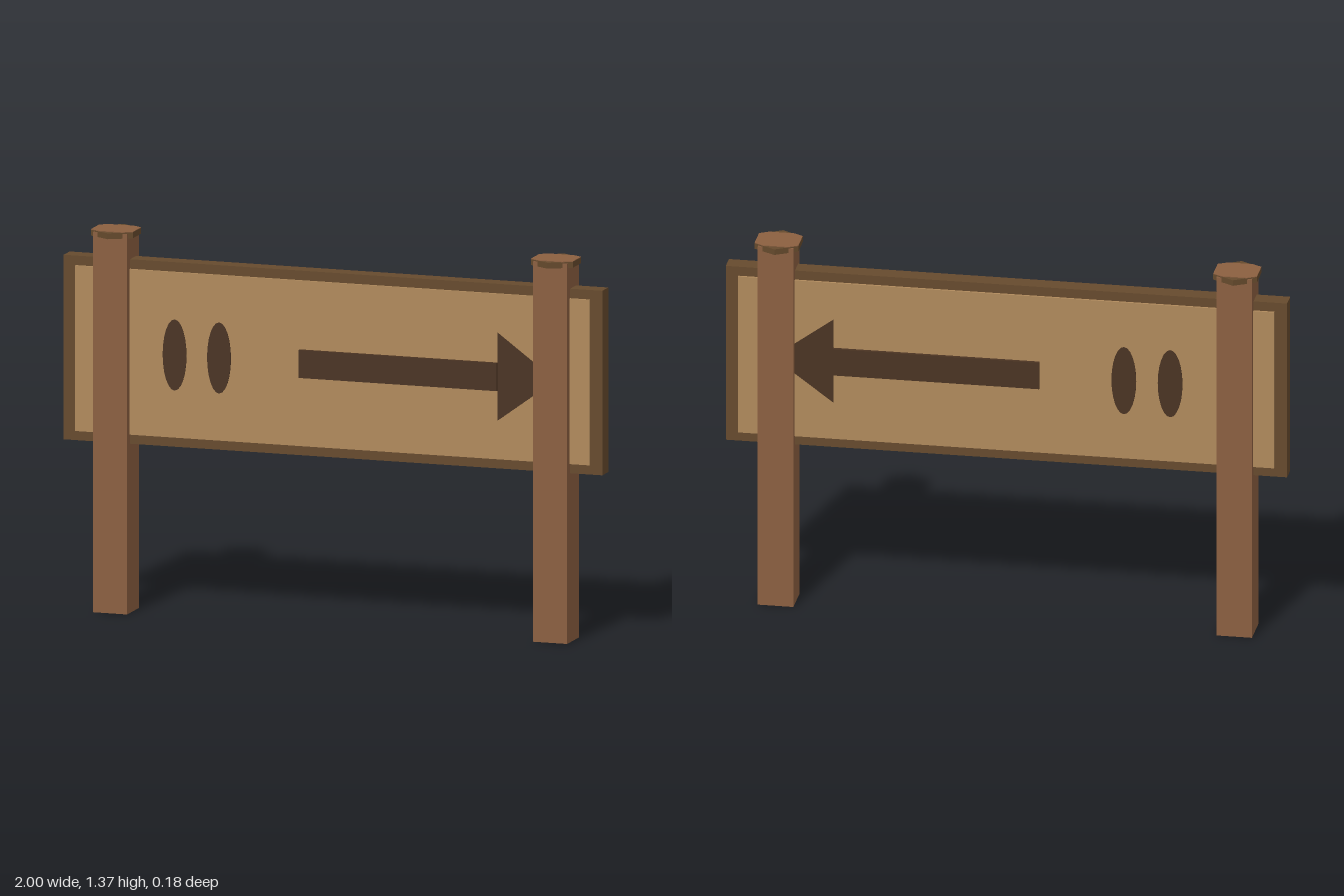
import * as THREE from 'three';

export function createModel() {
  const group = new THREE.Group();
  group.name = 'signboard';

  const material = (name, color) => {
    const m = new THREE.MeshStandardMaterial({ color, flatShading: true });
    m.name = name;
    return m;
  };
  const postWood = material('post wood', 0x8b5f40);
  const panelWood = material('panel wood', 0xb08a5c);
  const frameWood = material('frame wood', 0x664a2d);
  const paint = material('dark paint', 0x4a3322);

  const add = (name, geometry, mat, x, y, z) => {
    const mesh = new THREE.Mesh(geometry, mat);
    mesh.name = name;
    mesh.position.set(x, y, z);
    group.add(mesh);
    return mesh;
  };
  const plate = (shape, depth) =>
    new THREE.ExtrudeGeometry(shape, { depth, bevelEnabled: false, curveSegments: 12 });

  // Board: dark frame slab with a paler panel standing slightly proud on both faces
  const midY = 0.935;
  add('frame', new THREE.BoxGeometry(2, 0.66, 0.064), frameWood, 0, midY, 0);
  add('panel', new THREE.BoxGeometry(1.91, 0.592, 0.08), panelWood, 0, midY, 0);

  // Cap top: a hexagon with its front and back points cut off
  const capRadius = 0.09, cut = 0.064;
  const halfWidth = capRadius * Math.cos(Math.PI / 6);
  const cutX = (capRadius - cut) * Math.sqrt(3);
  const capTop = new THREE.Shape([
    [halfWidth, -capRadius / 2], [halfWidth, capRadius / 2], [cutX, cut],
    [-cutX, cut], [-halfWidth, capRadius / 2], [-halfWidth, -capRadius / 2],
    [-cutX, -cut], [cutX, -cut],
  ].map(([x, y]) => new THREE.Vector2(x, y)));

  // Square posts with hexagonal caps
  for (const side of [-1, 1]) {
    const label = side > 0 ? 'left' : 'right';
    const x = side * 0.817;
    add(label + 'Post', new THREE.BoxGeometry(0.127, 1.36, 0.127), postWood, x, 0.68, 0);
    add(label + 'Cap', new THREE.CylinderGeometry(capRadius, capRadius, 0.021, 6), frameWood, x, 1.3535, 0);
    add(label + 'CapTop', plate(capTop, 0.002), postWood, x, 1.364, 0).rotation.x = -Math.PI / 2;
  }

  // Painted signs, repeated on both faces
  const head = new THREE.Shape([
    new THREE.Vector2(0, -0.157), new THREE.Vector2(0.215, 0), new THREE.Vector2(0, 0.157),
  ]);
  const oval = new THREE.Shape();
  oval.absellipse(0, 0, 0.044, 0.127, 0, Math.PI * 2);

  for (const face of [1, -1]) {
    const label = face > 0 ? 'front' : 'back';
    const thin = 0.004;
    const plateZ = face > 0 ? 0.039 : -0.039 - thin;
    add(label + 'ArrowShaft', new THREE.BoxGeometry(0.735, 0.1, 0.014), paint, 0.2475, midY, face * 0.046);
    add(label + 'ArrowHead', plate(head, thin), paint, 0.615, midY, plateZ);
    for (const x of [-0.585, -0.42]) add(label + 'Oval', plate(oval, thin), paint, x, midY, plateZ);
  }

  return group;
}
